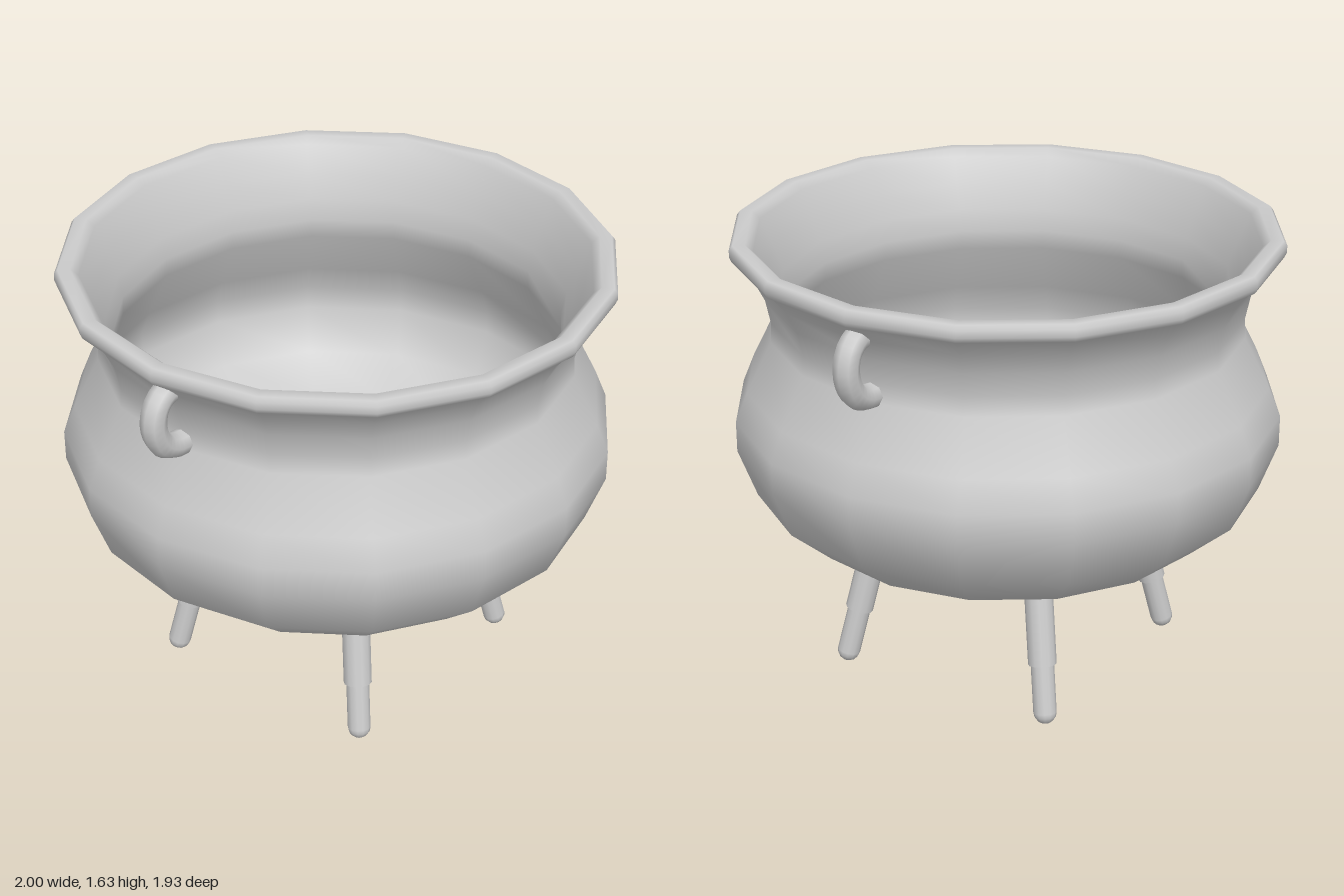
import * as THREE from 'three';

const grey = new THREE.MeshStandardMaterial({ color: 0xcccccc });

function part(name, geometry) {
  const mesh = new THREE.Mesh(geometry, grey);
  mesh.name = name;
  return mesh;
}

// Pot wall: outer profile going up, over the rolled rim and back down inside
function makePot() {
  const profile = [
    [0, 0.515], [0.5, 0.515], [0.745, 0.565], [0.9, 0.7], [0.965, 0.875],
    [0.965, 0.985], [0.922, 1.09], [0.832, 1.27], [0.828, 1.34], [0.845, 1.425],
    [0.885, 1.505], [0.935, 1.565],
    // rim
    [0.952, 1.572], [0.96, 1.59], [0.96, 1.615], [0.948, 1.63], [0.905, 1.63], [0.878, 1.605],
    // inside
    [0.835, 1.51], [0.8, 1.42], [0.785, 1.34], [0.789, 1.27], [0.88, 1.08],
    [0.925, 0.975], [0.925, 0.885], [0.865, 0.72], [0.72, 0.605], [0.49, 0.56], [0, 0.555],
  ].map(([r, y]) => new THREE.Vector2(r, y));
  return part('pot', new THREE.LatheGeometry(profile, 16));
}

// Curved loop handle on the left side; the ends sink into the neck and flare
function makeHandle() {
  const path = new THREE.CatmullRomCurve3([
    [0.815, 1.295], [0.87, 1.303], [0.925, 1.338], [0.956, 1.41],
    [0.945, 1.475], [0.905, 1.513], [0.85, 1.52],
  ].map(([x, y]) => new THREE.Vector3(x, y, 0)));
  const handle = part('handle', new THREE.TubeGeometry(path, 16, 0.044, 8));
  // closing disc at the lower end
  const cap = part('handleEnd', new THREE.CircleGeometry(0.044, 8));
  cap.position.copy(path.getPoint(0));
  cap.quaternion.setFromUnitVectors(new THREE.Vector3(0, 0, 1), path.getTangent(0).negate());
  const group = new THREE.Group();
  group.add(handle, cap);
  return group;
}

// Splayed leg: thick upper rod, thinner round-tipped foot
function makeLeg(sx, sz) {
  const leg = new THREE.Group();
  const upper = part('legUpper', new THREE.CylinderGeometry(0.05, 0.05, 0.42, 12));
  upper.position.y = 0.425;
  const foot = part('legFoot', new THREE.CapsuleGeometry(0.041, 0.2, 4, 12));
  foot.position.y = 0.141;
  leg.add(upper, foot);
  leg.position.set(sx * 0.427, 0.001, sz * 0.427);
  const axis = new THREE.Vector3(-sx * 0.18, 1, -sz * 0.18).normalize();
  leg.quaternion.setFromUnitVectors(new THREE.Vector3(0, 1, 0), axis);
  return leg;
}

export function createModel() {
  const model = new THREE.Group();
  model.name = 'cauldron';
  model.add(makePot());

  const leftHandle = makeHandle();
  leftHandle.name = 'leftHandle';
  const rightHandle = makeHandle();
  rightHandle.name = 'rightHandle';
  rightHandle.rotation.y = Math.PI;
  model.add(leftHandle, rightHandle);

  for (const sx of [1, -1]) {
    for (const sz of [1, -1]) {
      const leg = makeLeg(sx, sz);
      leg.name = `${sz > 0 ? 'front' : 'back'}${sx > 0 ? 'Left' : 'Right'}Leg`;
      model.add(leg);
    }
  }
  return model;
}
